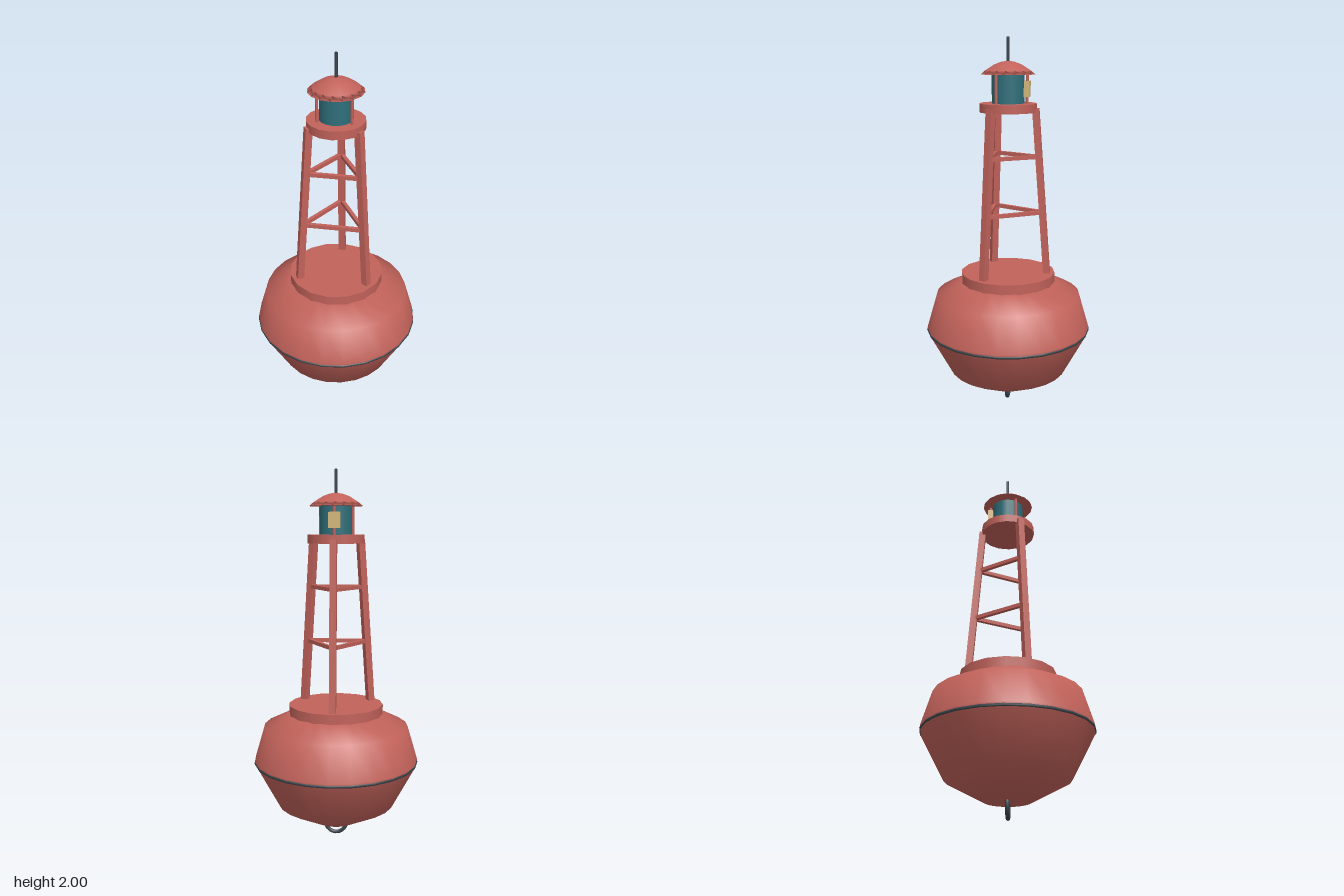
import * as THREE from 'three';

const mat = (name, color, extra = {}) => {
  const m = new THREE.MeshStandardMaterial({ color, ...extra });
  m.name = name;
  return m;
};

export function createModel() {
  const red = mat('buoy red', 0xc1625a);
  const dark = mat('dark iron', 0x3a444a);
  const teal = mat('lantern teal', 0x2f6f7a);
  const cream = mat('cream panel', 0xd2b577);

  const model = new THREE.Group();
  model.name = 'buoy';

  const add = (name, geometry, material, x = 0, y = 0, z = 0, parent = model) => {
    const mesh = new THREE.Mesh(geometry, material);
    mesh.name = name;
    mesh.position.set(x, y, z);
    parent.add(mesh);
    return mesh;
  };
  const lathe = (pts, sides) =>
    new THREE.LatheGeometry(pts.map(([r, y]) => new THREE.Vector2(r, y)), sides);
  const cylinder = (r, h, sides) => new THREE.CylinderGeometry(r, r, h, sides);
  // group turned so that its +z points outward at the given angle
  const turned = (name, angle) => {
    const g = new THREE.Group();
    g.name = name;
    g.rotation.y = angle;
    model.add(g);
    return g;
  };

  // floating body
  add('hull', lathe([[0, 0.09], [0.12, 0.09], [0.32, 0.195], [0.445, 0.43],
    [0.447, 0.452], [0.393, 0.635], [0.25, 0.705], [0, 0.705]], 24), red);
  const band = add('waterlineBand', new THREE.TorusGeometry(0.441, 0.009, 8, 24), dark, 0, 0.437, 0);
  band.rotation.x = Math.PI / 2;
  add('mooringRing', new THREE.TorusGeometry(0.057, 0.011, 8, 20), dark, 0, 0.068, 0);
  add('deck', cylinder(0.256, 0.055, 16), red, 0, 0.7275, 0);

  // three-legged tower with horizontal braces
  const y0 = 0.75, y1 = 1.64, r0 = 0.212, r1 = 0.145;
  const radiusAt = (y) => r0 + (r1 - r0) * (y - y0) / (y1 - y0);
  const legLength = Math.hypot(y1 - y0, r0 - r1);
  for (let i = 0; i < 3; i++) {
    const angle = Math.PI / 3 + i * Math.PI * 2 / 3;
    const legGroup = turned('legGroup', angle);
    const leg = add('leg', new THREE.BoxGeometry(0.036, legLength, 0.036), red,
      0, (y0 + y1) / 2, (r0 + r1) / 2, legGroup);
    leg.rotation.x = -Math.atan2(r0 - r1, y1 - y0);
    add('lanternPost', cylinder(0.008, 0.15, 8), red, 0, 1.74, 0.1, legGroup);

    const braceGroup = turned('braceGroup', angle + Math.PI / 3);
    for (const y of [1.09, 1.388]) {
      const r = radiusAt(y);
      add('brace', new THREE.BoxGeometry(r * Math.sqrt(3), 0.02, 0.02), red, 0, y, r / 2, braceGroup);
    }
  }

  // lantern
  add('platform', cylinder(0.15, 0.045, 16), red, 0, 1.6425, 0);
  add('lanternGlass', cylinder(0.085, 0.152, 16), teal, 0, 1.739, 0);
  add('panel', new THREE.BoxGeometry(0.06, 0.08, 0.03), cream, 0, 1.74, -0.1);
  add('roof', lathe([[0, 1.812], [0.142, 1.812], [0.118, 1.832], [0.07, 1.862],
    [0.035, 1.875], [0, 1.88]], 16), red);
  add('antenna', cylinder(0.008, 0.13, 8), dark, 0, 1.935, 0);

  return model;
}
